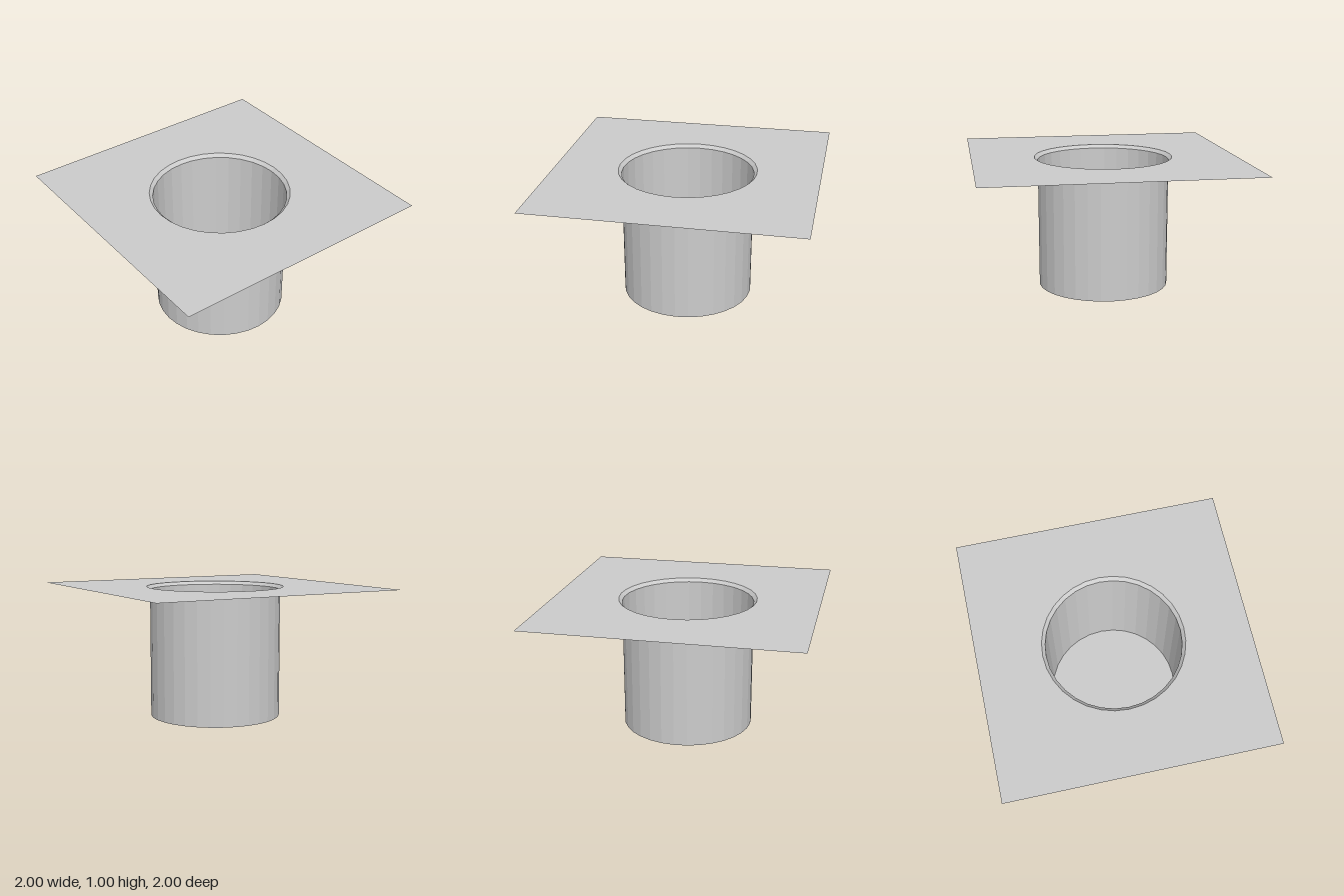
import * as THREE from 'three';

const SIDES = 32;
const WELL_R = 0.5, RIM_R = 0.525, TOP = 1, BEVEL = 0.025;

export function createModel() {
  const model = new THREE.Group();
  const material = new THREE.MeshStandardMaterial({
    color: 0xcccccc, flatShading: true, side: THREE.DoubleSide,
  });
  const add = (name, geometry) => {
    const mesh = new THREE.Mesh(geometry, material);
    mesh.name = name;
    model.add(mesh);
    return mesh;
  };
  const ring = (r, y) => new THREE.Vector2(r, y);

  // Thin square plate with a round opening (16 curve segments give a 32-sided circle)
  const square = new THREE.Shape([[-1, -1], [1, -1], [1, 1], [-1, 1]].map(([x, y]) => new THREE.Vector2(x, y)));
  square.holes.push(new THREE.Path().absarc(0, 0, RIM_R, 0, Math.PI * 2, true));
  add('plate', new THREE.ShapeGeometry(square, SIDES / 2).rotateX(-Math.PI / 2).translate(0, TOP, 0));

  // Bevelled rim leading from the plate into the well
  add('rim', new THREE.LatheGeometry([ring(WELL_R, TOP - BEVEL), ring(RIM_R, TOP)], SIDES));

  // Straight wall of the well
  add('wellWall', new THREE.LatheGeometry([ring(WELL_R, 0), ring(WELL_R, TOP - BEVEL)], SIDES));

  // Floor closing the well
  add('wellFloor', new THREE.CircleGeometry(WELL_R, SIDES).rotateX(-Math.PI / 2));

  return model;
}
